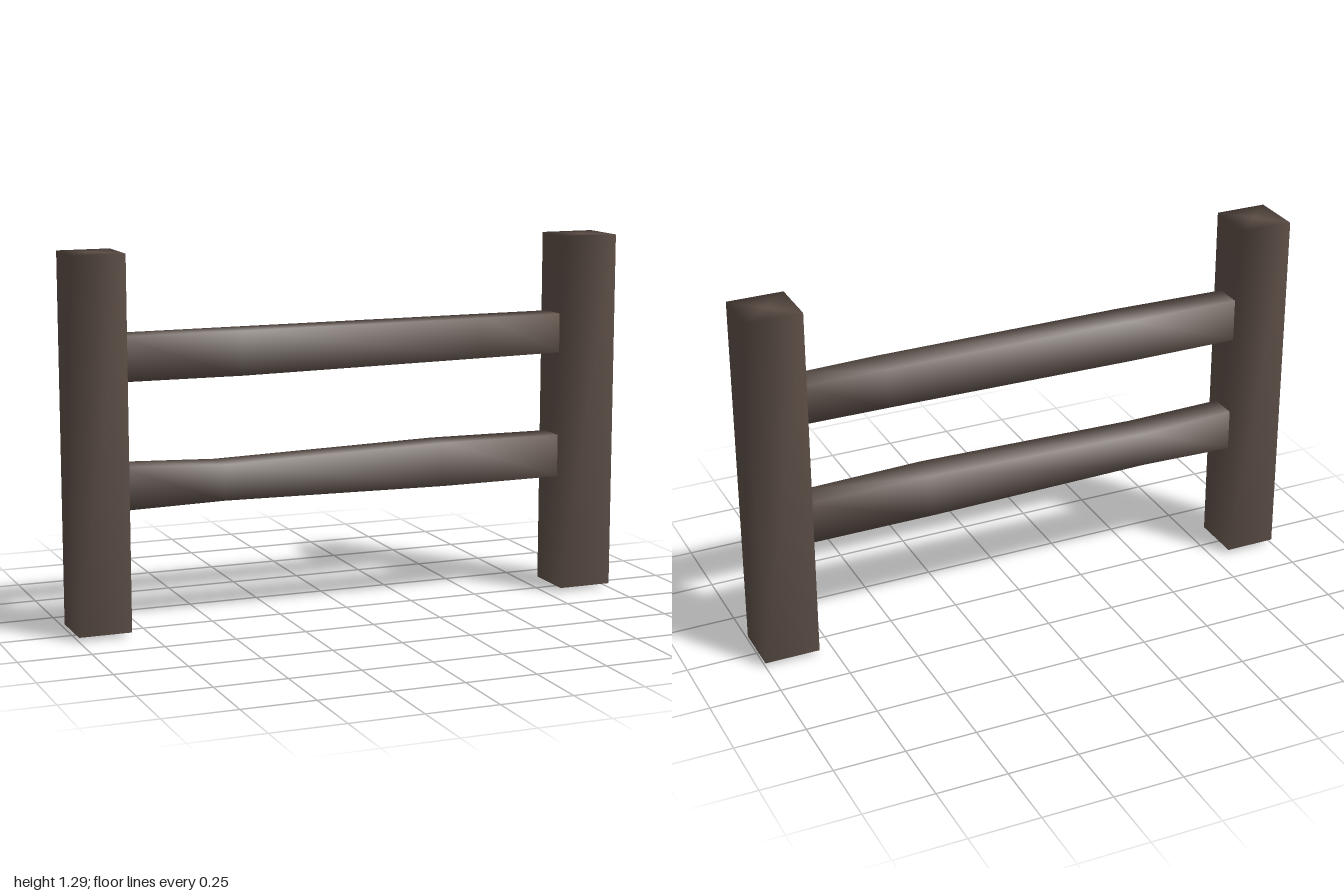
import * as THREE from 'three';

const wood = new THREE.MeshStandardMaterial({ color: 0x5c4e46, roughness: 0.9 });

// Skin four-cornered rings (counter-clockwise seen from the far end), closed by a point at each end.
// Shared vertices give the timber its soft shading.
function loft(name, rings, startPoint, endPoint) {
  const points = [...rings.flat(), startPoint, endPoint];
  const start = points.length - 2, end = points.length - 1;
  const last = (rings.length - 1) * 4;
  const index = [];
  for (let j = 0; j < 4; j++) {
    const k = (j + 1) % 4;
    for (let i = 0; i < last; i += 4) {
      index.push(i + j, i + k, i + 4 + k, i + j, i + 4 + k, i + 4 + j);
    }
    index.push(start, k, j, end, last + j, last + k);
  }
  const geometry = new THREE.BufferGeometry();
  geometry.setAttribute('position', new THREE.Float32BufferAttribute(points.flat(), 3));
  geometry.setIndex(index);
  geometry.computeVertexNormals();
  const mesh = new THREE.Mesh(geometry, wood);
  mesh.name = name;
  return mesh;
}

// Square post with a flat top and a shallow point underneath
function post(name, x0, x1) {
  const z0 = -0.095, z1 = 0.092, mid = (x0 + x1) / 2;
  const ring = y => [[x0, y, z0], [x0, y, z1], [x1, y, z1], [x1, y, z0]];
  return loft(name, [ring(0.015), ring(1.295)], [mid, 0, 0], [mid, 1.295, 0]);
}

// Rail from stations [x, bottom, top, front z]
function rail(name, stations) {
  const zBack = -0.055;
  const rings = stations.map(([x, b, t, f]) => [[x, b, zBack], [x, t, zBack], [x, t, f], [x, b, f]]);
  const centre = ([x, b, t]) => [x, (b + t) / 2, 0];
  return loft(name, rings, centre(stations[0]), centre(stations.at(-1)));
}

export function createModel() {
  const fence = new THREE.Group();
  fence.name = 'fence';

  fence.add(post('rightPost', -1, -0.816), post('leftPost', 0.803, 1));

  fence.add(rail('upperRail', [
    [-0.83, 0.862, 1.015, 0.045],
    [-0.4, 0.862, 1.015, 0.06],
    [0.5, 0.873, 1.015, 0.06],
    [0.82, 0.875, 1.015, 0.048],
  ]));

  // The lower rail narrows near one end
  fence.add(rail('lowerRail', [
    [-0.83, 0.425, 0.575, 0.045],
    [-0.47, 0.435, 0.56, 0.06],
    [0.35, 0.423, 0.578, 0.06],
    [0.82, 0.422, 0.574, 0.048],
  ]));

  return fence;
}
